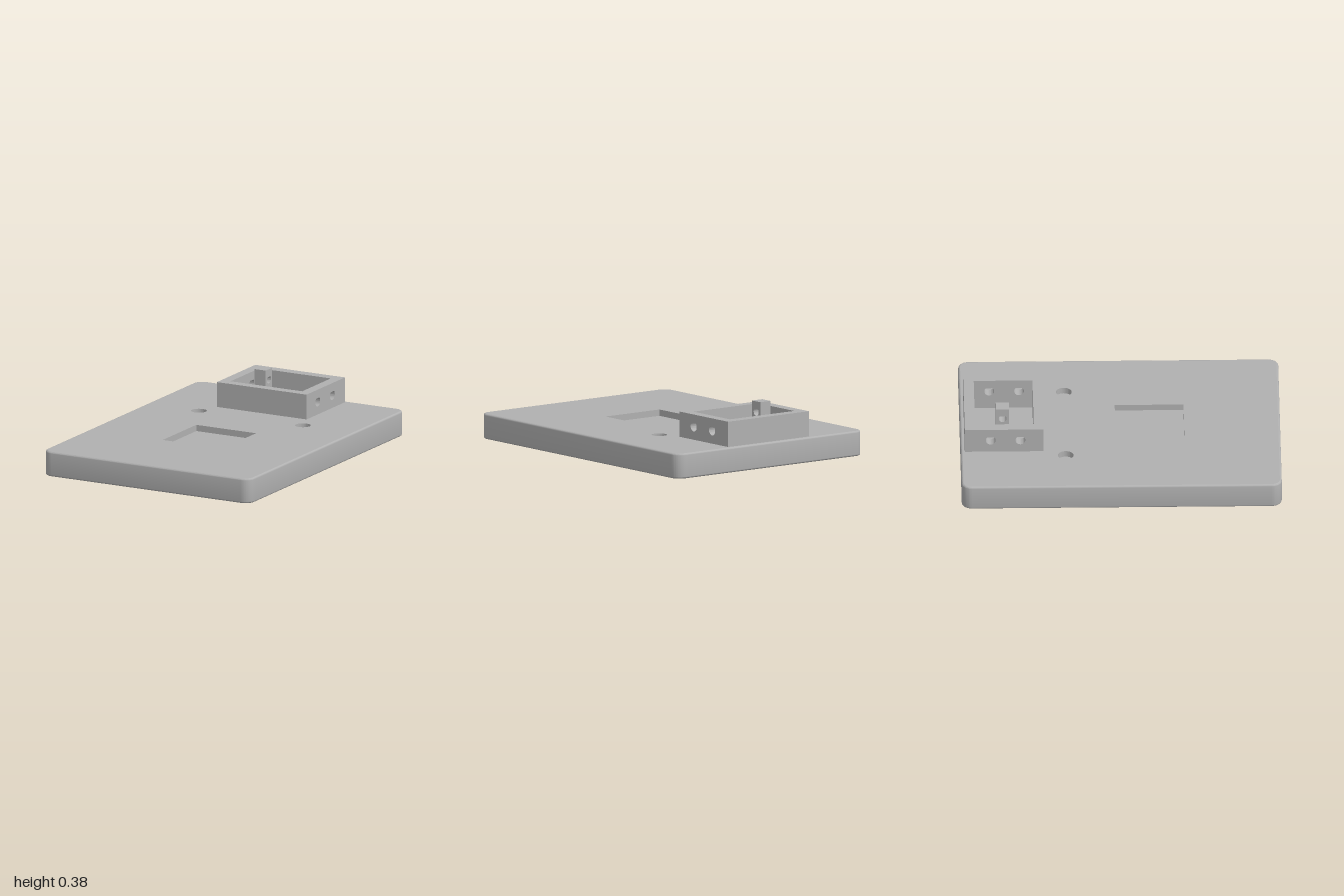
import * as THREE from 'three';
import { toCreasedNormals } from 'three/addons/utils/BufferGeometryUtils.js';

const TOP = 0.16, FLOOR = 0.12; // plate top and recess floor heights

function roundedRect(w, d, r) {
  const s = new THREE.Shape(), x = w / 2 - r, y = d / 2 - r;
  s.absarc(x, y, r, 0, Math.PI / 2);
  s.absarc(-x, y, r, Math.PI / 2, Math.PI);
  s.absarc(-x, -y, r, Math.PI, Math.PI * 1.5);
  s.absarc(x, -y, r, Math.PI * 1.5, Math.PI * 2);
  return s.getPoints(10);
}

// Counter-clockwise rectangle on the plan, where plan y is -z
function rect(x0, x1, z0, z1) {
  return [[x0, -z1], [x1, -z1], [x1, -z0], [x0, -z0]].map(p => new THREE.Vector2(...p));
}

function circle(x, z, r) {
  return Array.from({ length: 40 }, (_, i) => {
    const a = i / 40 * Math.PI * 2;
    return new THREE.Vector2(x + r * Math.cos(a), -z + r * Math.sin(a));
  });
}

// Skin between plan loops; going upward faces outward, downward faces inward
function loft(rings) {
  const pos = [], index = [], n = rings[0].pts.length;
  for (const { pts, y } of rings) for (const p of pts) pos.push(p.x, y, -p.y);
  for (let k = 0; k < rings.length - 1; k++) {
    for (let i = 0; i < n; i++) {
      const a = k * n + i, b = k * n + (i + 1) % n;
      index.push(a, b, b + n, a, b + n, a + n);
    }
  }
  const g = new THREE.BufferGeometry();
  g.setAttribute('position', new THREE.Float32BufferAttribute(pos, 3));
  g.setIndex(index);
  return toCreasedNormals(g, 0.5);
}

function flat(pts, y, holes = []) {
  const s = new THREE.Shape(pts);
  s.holes = holes.map(h => new THREE.Path(h));
  return new THREE.ShapeGeometry(s).rotateX(-Math.PI / 2).translate(0, y, 0);
}

// Circle with a 45 degree pointed roof
function teardrop(u, y, r) {
  const p = new THREE.Path();
  p.moveTo(u, y + r * Math.SQRT2);
  p.absarc(u, y, r, Math.PI * 0.75, Math.PI * 2.25, false);
  p.closePath();
  return p;
}

// Block pierced along x by teardrop holes
function piercedBlock(x0, x1, y0, y1, z0, z1, holes) {
  const s = new THREE.Shape([[-z1, y0], [-z0, y0], [-z0, y1], [-z1, y1]].map(p => new THREE.Vector2(...p)));
  s.holes = holes;
  const g = new THREE.ExtrudeGeometry(s, { depth: x1 - x0, bevelEnabled: false, curveSegments: 20 });
  return toCreasedNormals(g.rotateY(Math.PI / 2).translate(x0, 0, 0), 0.5);
}

export function createModel() {
  const model = new THREE.Group();
  const grey = new THREE.MeshStandardMaterial({ color: 0xb0b0b0 });
  grey.name = 'plain grey';
  const add = (parent, name, geometry) => {
    const m = new THREE.Mesh(geometry, grey);
    m.name = name;
    parent.add(m);
  };

  // Base plate with softly rounded rims
  const plate = new THREE.Group();
  plate.name = 'basePlate';
  model.add(plate);
  const e = 0.012;
  const outline = inset => roundedRect(1.484 - 2 * inset, 2 - 2 * inset, 0.064 - inset);
  const rings = [];
  for (const side of [0, 1]) {
    for (let i = 0; i <= 4; i++) {
      const a = (side ? i : 4 - i) / 4 * Math.PI / 2;
      const rise = e * (1 - Math.sin(a));
      rings.push({ pts: outline(e * (1 - Math.cos(a))), y: side ? TOP - rise : rise });
    }
  }
  add(plate, 'plateSides', loft(rings));
  add(plate, 'plateBottom', flat(outline(e), 0).scale(1, -1, 1).rotateZ(Math.PI));

  // Recesses sunk into the plate
  const recesses = {
    squarePocket: rect(-0.215, 0.213, -0.03, 0.4),
    leftRoundHole: circle(0.372, -0.345, 0.049),
    rightRoundHole: circle(-0.372, -0.345, 0.049),
    housingCavity: rect(-0.256, 0.256, -0.91, -0.543),
  };
  add(plate, 'plateTop', flat(outline(e), TOP, Object.values(recesses)));
  for (const [name, pts] of Object.entries(recesses)) {
    add(plate, name + 'Walls', loft([{ pts, y: TOP }, { pts, y: FLOOR }]));
    add(plate, name + 'Floor', flat(pts, FLOOR));
  }

  // Open-topped housing
  const housing = new THREE.Group();
  housing.name = 'housing';
  model.add(housing);
  const H = 0.32;
  for (const [name, z0, z1] of [['backWall', -0.975, -0.91], ['frontWall', -0.543, -0.483]]) {
    add(housing, name, new THREE.BoxGeometry(0.642, H - TOP, z1 - z0).translate(0, (H + TOP) / 2, (z0 + z1) / 2));
  }
  for (const [name, x0, x1] of [['leftWall', 0.256, 0.321], ['rightWall', -0.321, -0.256]]) {
    add(housing, name, piercedBlock(x0, x1, TOP, H, -0.91, -0.543,
      [teardrop(0.627, 0.243, 0.031), teardrop(0.813, 0.243, 0.031)]));
  }

  // Post standing in the housing
  add(housing, 'post', piercedBlock(-0.171, -0.09, FLOOR, 0.375, -0.778, -0.695, [teardrop(0.736, 0.308, 0.025)]));
  return model;
}
